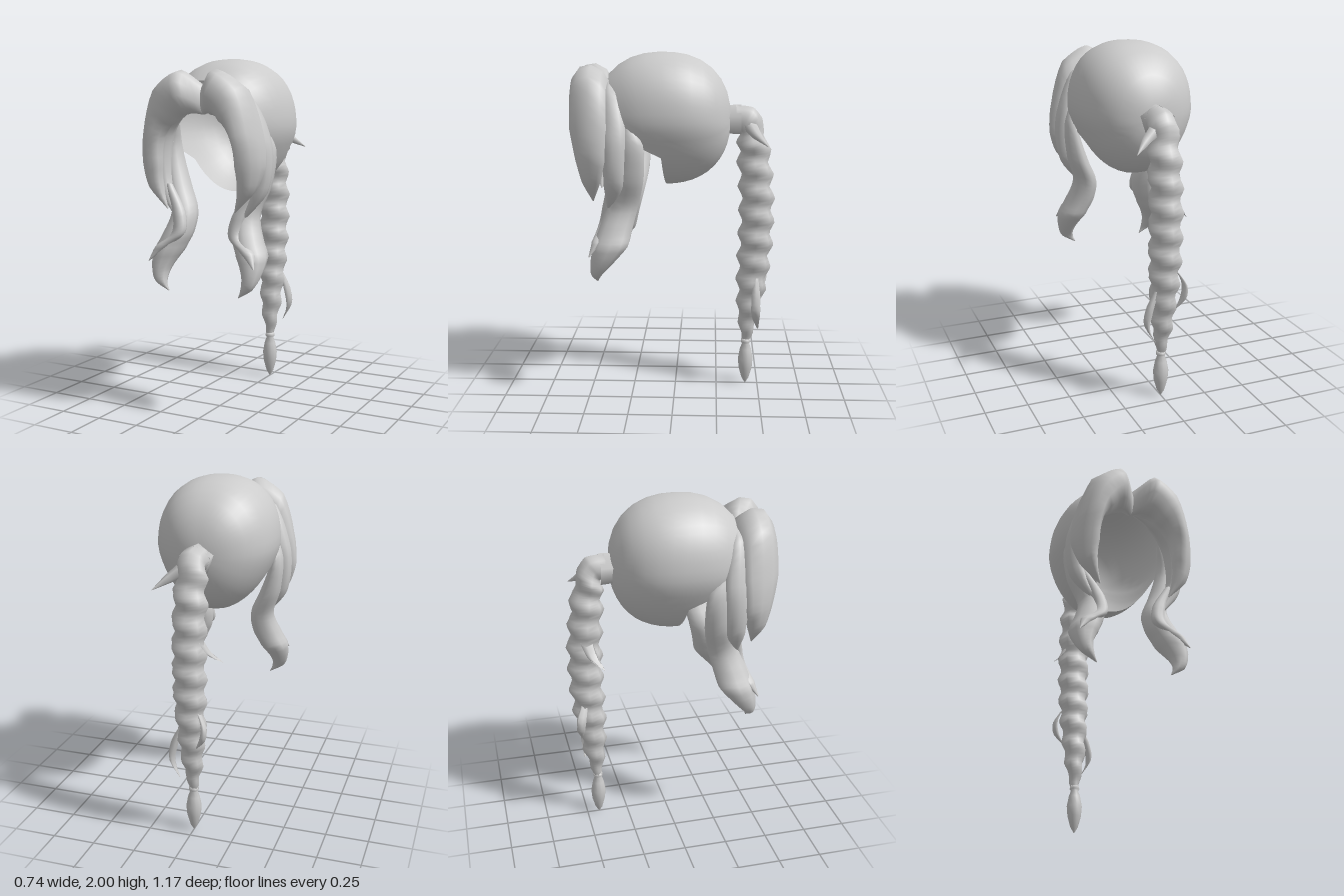
import * as THREE from 'three';

const mat = new THREE.MeshStandardMaterial({ color: 0xcccccc, side: THREE.DoubleSide });

// Surface from a rule point(t, u), closed around u
function grid(name, rows, cols, point) {
  const pos = [], idx = [];
  for (let i = 0; i <= rows; i++)
    for (let j = 0; j < cols; j++) pos.push(...point(i / rows, j / cols).toArray());
  for (let i = 0; i < rows; i++)
    for (let j = 0; j < cols; j++) {
      const a = i * cols + j, b = i * cols + (j + 1) % cols, c = a + cols, d = b + cols;
      idx.push(a, b, c, b, d, c);
    }
  const geo = new THREE.BufferGeometry();
  geo.setAttribute('position', new THREE.Float32BufferAttribute(pos, 3));
  geo.setIndex(idx);
  geo.computeVertexNormals();
  const mesh = new THREE.Mesh(geo, mat);
  mesh.name = name;
  return mesh;
}

// Lofted hair lock. Station: [centre, first half axis, second half axis]
function lock(name, stations, { side = 1, rows = 24, cols = 10, swell = () => 1 } = {}) {
  const points = k => stations.map(s => new THREE.Vector3(s[k][0] * side, s[k][1], s[k][2]));
  const axis = k => {
    const pts = points(k);
    return t => {
      const f = t * (pts.length - 1), i = Math.min(Math.floor(f), pts.length - 2);
      return pts[i].clone().lerp(pts[i + 1], f - i);
    };
  };
  const centre = new THREE.CatmullRomCurve3(points(0)), a = axis(1), b = axis(2);
  return grid(name, rows, cols, (t, u) => {
    const ang = u * Math.PI * 2, p = centre.getPoint(t), s = swell(p, u, t);
    return p.addScaledVector(a(t), Math.cos(ang) * s).addScaledVector(b(t), Math.sin(ang) * s);
  });
}

// Station with axes along x and z; skew turns the second axis sideways
const st = (x, y, z, rx, rz, skew = 0) => [[x, y, z], [rx, 0, 0], [skew, 0, rz]];

// Scalp shell: rounded dome grown from the back and cut along the hairline
function scalp() {
  const hairline = [[0, 141], [60, 132], [90, 126], [105, 122], [112.5, 104], [120, 90], [181, 86]];
  const limit = deg => {
    const i = hairline.findIndex((h, k) => deg < hairline[k + 1][0]);
    const [d0, v0] = hairline[i], [d1, v1] = hairline[i + 1];
    return THREE.MathUtils.degToRad(v0 + (v1 - v0) * (deg - d0) / (d1 - d0));
  };
  return grid('scalp', 12, 48, (t, u) => {
    const phi = u * Math.PI * 2;
    const th = Math.max(t, 0.001) * limit(Math.min(u, 1 - u) * 360);
    const d = new THREE.Vector3(Math.sin(th) * Math.sin(phi), Math.sin(th) * Math.cos(phi), -Math.cos(th));
    const p = 2.3;
    d.divideScalar((Math.abs(d.x) ** p + Math.abs(d.y) ** p + Math.abs(d.z) ** p) ** (1 / p));
    const taper = 1 - 0.8 * Math.max(0, -d.y * 0.38 - 0.02);
    return new THREE.Vector3(d.x * 0.34 * taper, 1.62 + d.y * 0.38, 0.07 + d.z * 0.39);
  });
}

export function createModel() {
  const model = new THREE.Group();
  model.add(scalp());

  // Parted fringe and face-framing locks, mirrored
  for (const side of [1, -1]) {
    const tag = side > 0 ? 'left' : 'right';
    model.add(
      lock(tag + 'FrontFringe', [
        [[0, 1.77, 0.42], [0, 0.08, 0], [0, 0, 0.045]],
        [[0.09, 1.81, 0.47], [0.02, 0.12, 0], [0, 0.02, 0.11]],
        [[0.21, 1.74, 0.472], [0.06, 0.1, 0], [-0.015, 0, 0.115]],
        [[0.285, 1.58, 0.468], [0.06, 0.02, 0], [-0.03, 0, 0.115]],
        st(0.302, 1.42, 0.46, 0.062, 0.09, -0.03),
        st(0.28, 1.29, 0.46, 0.045, 0.055, -0.01),
        st(0.21, 1.17, 0.46, 0.003, 0.003),
      ], { side }),
      lock(tag + 'RearFringe', [
        [[0.04, 1.8, 0.37], [0.01, 0.06, 0], [0, 0, 0.03]],
        [[0.2, 1.74, 0.355], [0.05, 0.06, 0], [0, 0, 0.06]],
        st(0.3, 1.58, 0.33, 0.045, 0.07),
        st(0.32, 1.42, 0.33, 0.045, 0.065),
        st(0.29, 1.26, 0.335, 0.045, 0.055),
        st(0.18, 1.08, 0.38, 0.003, 0.003),
      ], { side }),
      lock(tag + 'SideLock', [
        st(0.27, 1.63, 0.26, 0.02, 0.02),
        st(0.3, 1.5, 0.23, 0.035, 0.065),
        st(0.26, 1.3, 0.25, 0.06, 0.085),
        st(0.2, 1.14, 0.29, 0.07, 0.09),
        st(0.22, 1.02, 0.33, 0.085, 0.1),
        st(0.265, 0.92, 0.36, 0.085, 0.105),
        st(0.285, 0.82, 0.41, 0.052, 0.065),
        st(0.27, 0.75, 0.44, 0.035, 0.03),
        st(0.22, 0.7, 0.44, 0.002, 0.002),
      ], { side, rows: 32 }),
      lock(tag + 'CurlStrand', [
        st(0.27, 1.3, 0.35, 0.02, 0.02),
        st(0.19, 1.14, 0.375, 0.04, 0.035),
        st(0.18, 1.03, 0.4, 0.04, 0.035),
        st(0.27, 0.95, 0.43, 0.04, 0.035),
        st(0.33, 0.87, 0.475, 0.003, 0.003),
      ], { side }));
  }

  // Five-sided hair tie joining the braid to the scalp
  const tie = new THREE.Mesh(new THREE.CylinderGeometry(0.092, 0.086, 0.1, 5, 1, true), mat);
  tie.name = 'hairTie';
  tie.rotation.x = -Math.PI / 2;
  tie.position.set(0, 1.61, -0.33);
  model.add(tie);

  // Braid: bends down from the tie, swelling in a rising spiral
  model.add(lock('braid', [
    [[0, 1.62, -0.35], [0.075, 0, 0], [0, 0.08, 0]],
    [[0, 1.615, -0.41], [0.085, 0, 0], [0, 0.075, -0.05]],
    [[0, 1.53, -0.44], [0.1, 0, 0], [0, 0.03, -0.09]],
    st(0, 1.4, -0.458, 0.108, -0.108),
    st(0, 1.15, -0.477, 0.108, -0.112),
    st(0, 0.9, -0.474, 0.106, -0.112),
    st(0, 0.68, -0.46, 0.094, -0.104),
    st(0, 0.45, -0.44, 0.07, -0.075),
    st(0, 0.27, -0.427, 0.027, -0.027),
  ], {
    rows: 84, cols: 8,
    swell: (p, u, t) => {
      const f = ((p.y / 0.14 + u) % 1 + 1) % 1;
      return 1 - 0.3 * Math.abs(2 * f - 1) * Math.min(1, t * 5);
    },
  }));

  // Tassel below the braid
  const profile = [[0.001, 0], [0.022, 0.035], [0.04, 0.1], [0.045, 0.16], [0.034, 0.22],
    [0.022, 0.255], [0.029, 0.265], [0.027, 0.285], [0.001, 0.29]];
  const tassel = new THREE.Mesh(
    new THREE.LatheGeometry(profile.map(([r, y]) => new THREE.Vector2(r, y)), 10), mat);
  tassel.name = 'tassel';
  tassel.position.z = -0.427;
  model.add(tassel);

  // Loose wisps sticking out of the braid: x, y, z, radius
  const wisps = [
    [[0.05, 1.58, -0.43, 0.045], [0.12, 1.53, -0.47, 0.03], [0.19, 1.48, -0.53, 0.002]],
    [[-0.05, 1.22, -0.48, 0.04], [-0.1, 1.13, -0.45, 0.03], [-0.165, 1.06, -0.39, 0.002]],
    [[-0.06, 0.79, -0.5, 0.02], [-0.095, 0.72, -0.525, 0.03], [-0.09, 0.65, -0.53, 0.025], [-0.05, 0.58, -0.52, 0.004]],
    [[0.05, 0.68, -0.48, 0.015], [0.095, 0.57, -0.48, 0.03], [0.11, 0.47, -0.48, 0.03], [0.06, 0.37, -0.495, 0.004]],
  ];
  wisps.forEach((w, i) => model.add(
    lock('wisp' + (i + 1), w.map(([x, y, z, r]) => [[x, y, z], [r * 0.6, r * 0.6, 0], [0, 0, r]]), { rows: 10, cols: 6 })));

  return model;
}
